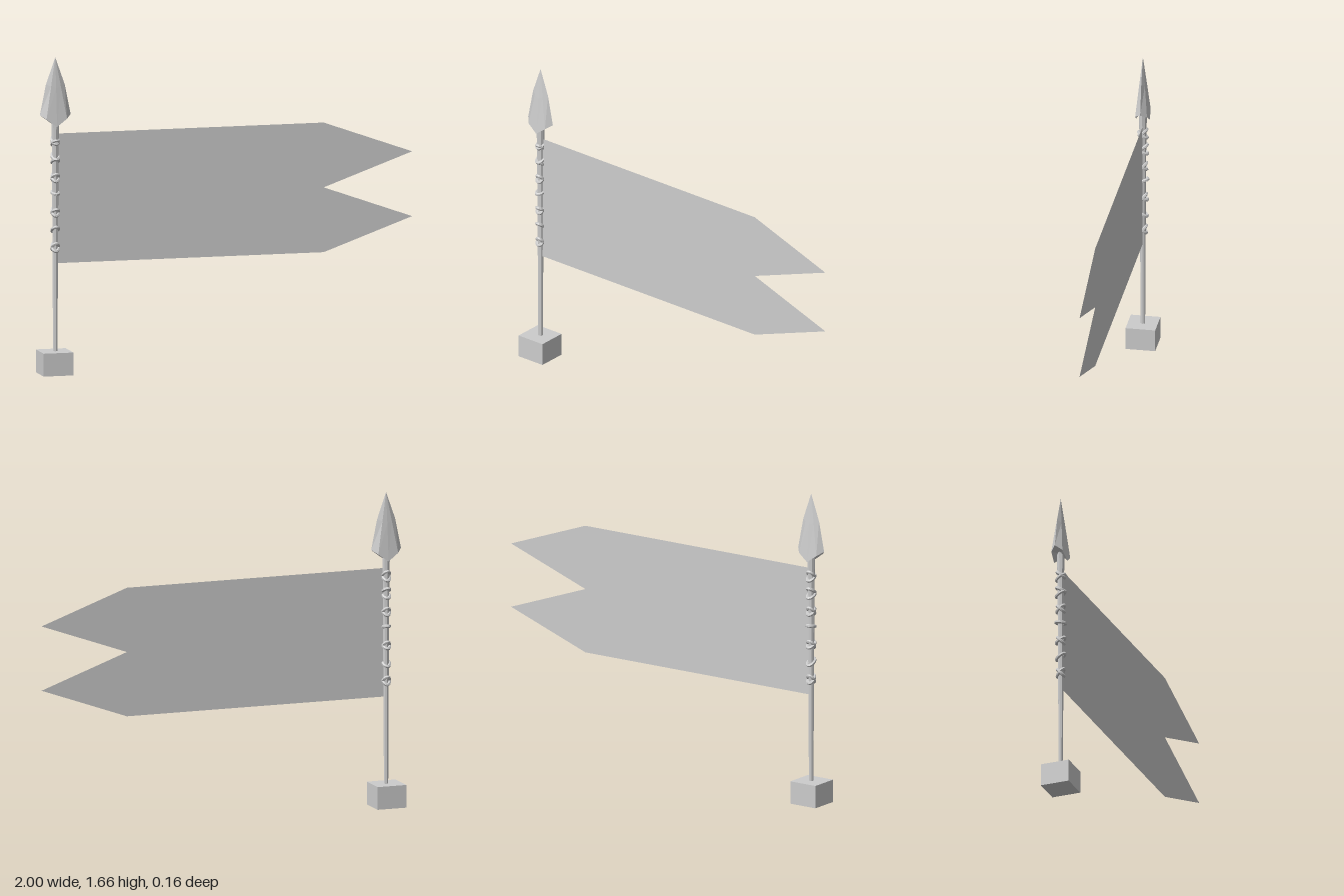
import * as THREE from 'three';

const POLE_X = -0.917;

export function createModel() {
  const model = new THREE.Group();
  const grey = new THREE.MeshStandardMaterial({ color: 0xcccccc });
  grey.name = 'plain grey';
  grey.flatShading = true;
  grey.side = THREE.DoubleSide;

  const add = (name, geometry, x, y) => {
    const mesh = new THREE.Mesh(geometry, grey);
    mesh.name = name;
    mesh.position.set(x, y, 0);
    model.add(mesh);
    return mesh;
  };

  // Square foot and slightly flaring pole
  add('base', new THREE.BoxGeometry(0.16, 0.12, 0.156), -0.92, 0.06);
  add('poleTop', new THREE.CylinderGeometry(0.022, 0.018, 0.16, 8), POLE_X, 1.27);
  add('poleShaft', new THREE.CylinderGeometry(0.018, 0.012, 1.09, 8), POLE_X, 0.655);

  // Swallow-tailed flag, a single sheet
  const outline = [[-0.915, 0.58], [0.525, 0.58], [1, 0.75], [0.525, 0.92],
    [1, 1.09], [0.525, 1.26], [-0.915, 1.26]].map(([x, y]) => new THREE.Vector2(x, y));
  add('flag', new THREE.ShapeGeometry(new THREE.Shape(outline)), 0, 0);

  // Tilted rope loops binding the flag to the pole
  const loopPoints = [];
  for (let i = 0; i < 12; i++) {
    const a = (i / 12) * Math.PI * 2;
    loopPoints.push(new THREE.Vector3(0.017 * Math.cos(a), 0, 0.027 * Math.sin(a)));
  }
  const loop = new THREE.TubeGeometry(
    new THREE.CatmullRomCurve3(loopPoints, true), 20, 0.009, 6, true);
  const ties = [[0.665, 0.85], [0.665, -0.85], [0.757, -0.6], [0.85, 0.85], [0.85, -0.55],
    [0.95, 0.22], [1.03, 0.8], [1.03, -0.75], [1.115, -0.5], [1.14, 0.55],
    [1.21, -0.6], [1.225, 0.75]];
  // A positive tilt lowers the front of the loop
  for (const [y, tilt] of ties) add('ropeTie', loop, POLE_X, y).rotation.x = -tilt * -1;

  // Spearhead: tip, two eight-point rings and a hollowed underside
  const ring = ([sx, sy], [mx, my, mz], [fy, fz]) => [
    [sx, sy, 0], [mx, my, mz], [0, fy, fz], [-mx, my, mz],
    [-sx, sy, 0], [-mx, my, -mz], [0, fy, -fz], [mx, my, -mz]];
  const tip = [0, 1.66, 0];
  const hollow = [0, 1.345, 0];
  const upper = ring([0.05, 1.52], [0.026, 1.51, 0.015], [1.5, 0.018]);
  const lower = ring([0.083, 1.36], [0.055, 1.34, 0.031], [1.3, 0.037]);
  const corners = [];
  for (let i = 0; i < 8; i++) {
    const j = (i + 1) % 8;
    corners.push(tip, upper[j], upper[i]);
    corners.push(upper[i], upper[j], lower[j], upper[i], lower[j], lower[i]);
    corners.push(hollow, lower[i], lower[j]);
  }
  const head = new THREE.BufferGeometry();
  head.setAttribute('position', new THREE.Float32BufferAttribute(corners.flat(), 3));
  head.computeVertexNormals();
  add('spearhead', head, POLE_X, 0);

  return model;
}
